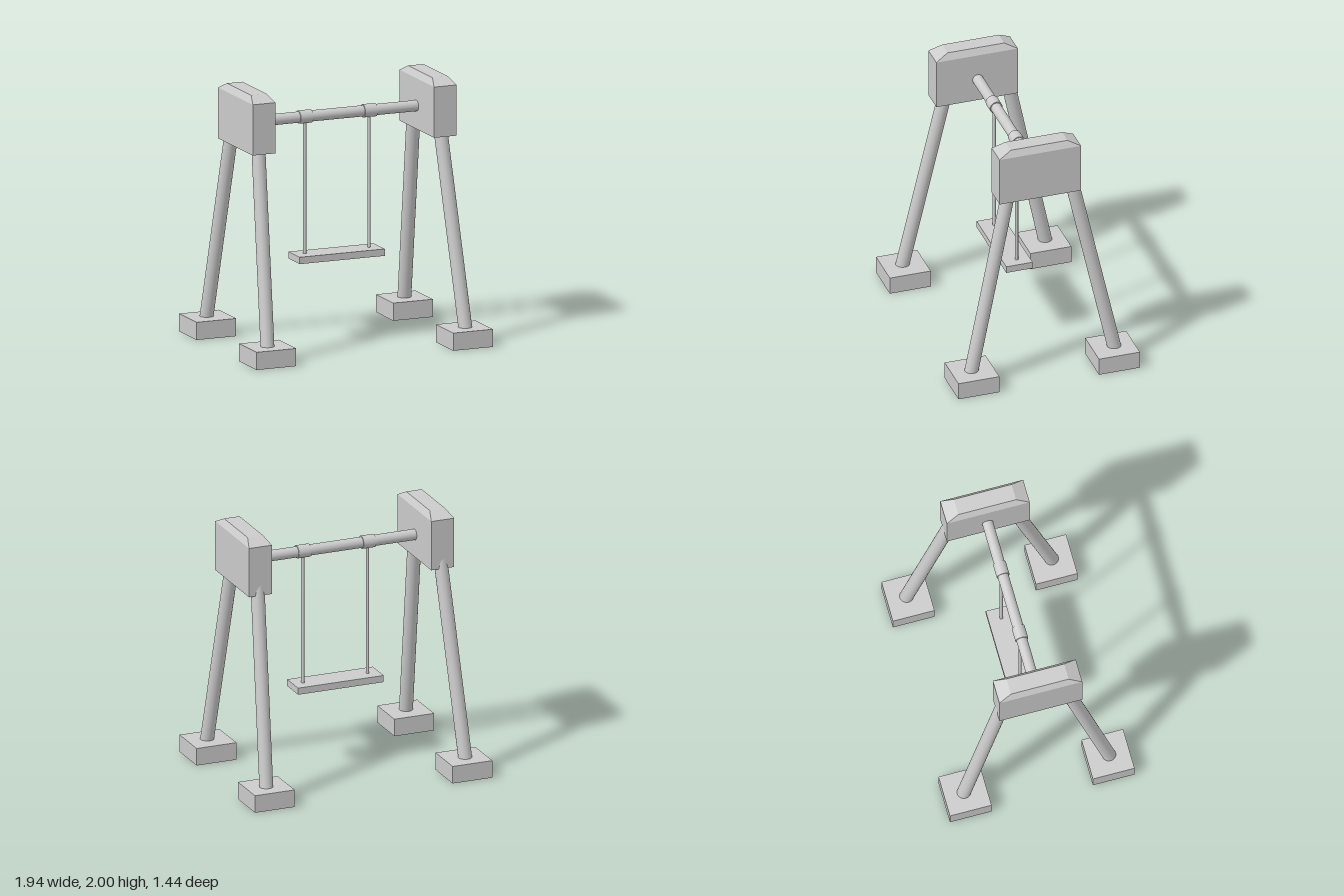
import * as THREE from 'three';

const material = new THREE.MeshStandardMaterial({ color: 0xcccccc });

function add(group, name, geometry, x = 0, y = 0, z = 0) {
  const mesh = new THREE.Mesh(geometry, material);
  mesh.name = name;
  mesh.position.set(x, y, z);
  group.add(mesh);
  return mesh;
}

// Cylinder running between two points
function addRod(group, name, from, to, radius) {
  const dir = to.clone().sub(from);
  const rod = add(group, name, new THREE.CylinderGeometry(radius, radius, dir.length(), 32));
  rod.position.copy(from).add(to).multiplyScalar(0.5);
  rod.quaternion.setFromUnitVectors(new THREE.Vector3(0, 1, 0), dir.normalize());
  return rod;
}

// Block whose top is chamfered on all four sides
function chamferedBlock(width, wallHeight, topHeight, depth, insetX, insetZ) {
  const geo = new THREE.BoxGeometry(width, 1, depth, 1, 2, 1);
  const pos = geo.attributes.position;
  for (let i = 0; i < pos.count; i++) {
    const level = Math.round((pos.getY(i) + 0.5) * 2);
    pos.setY(i, [0, wallHeight, topHeight][level]);
    if (level === 2) {
      pos.setX(i, pos.getX(i) - Math.sign(pos.getX(i)) * insetX);
      pos.setZ(i, pos.getZ(i) - Math.sign(pos.getZ(i)) * insetZ);
    }
  }
  const flat = geo.toNonIndexed();
  flat.computeVertexNormals();
  return flat;
}

export function createModel() {
  const swing = new THREE.Group();
  swing.name = 'swing';
  const V = (x, y, z) => new THREE.Vector3(x, y, z);
  const beamY = 1.74, midZ = 0.022;

  // End frames: head block, two splayed legs, two footings
  for (const side of [-1, 1]) {
    const frame = new THREE.Group();
    frame.name = side > 0 ? 'leftFrame' : 'rightFrame';
    add(frame, 'headBlock', chamferedBlock(0.186, 0.39, 0.44, 0.645, 0.03, 0.098), side * 0.743, 1.56, 0.0275);
    for (const end of [-1, 1]) {
      const prefix = end > 0 ? 'front' : 'back';
      addRod(frame, prefix + 'Leg', V(side * 0.815, 0.04, end * 0.584), V(side * 0.742, 1.7, end * 0.228), 0.052);
      add(frame, prefix + 'Footing', new THREE.BoxGeometry(0.324, 0.136, 0.324), side * 0.806, 0.068, end * 0.556 + 0.002);
    }
    swing.add(frame);
  }

  // Cross beam
  addRod(swing, 'crossBeam', V(-0.68, beamY, midZ), V(0.68, beamY, midZ), 0.042);

  // Hanging seat with a collar and a hanger rod at each side
  for (const x of [-0.266, 0.262]) {
    addRod(swing, 'collar', V(x - 0.051, beamY, midZ), V(x + 0.051, beamY, midZ), 0.05);
    addRod(swing, 'hangerRod', V(x, 0.66, midZ), V(x, beamY, midZ), 0.0125);
  }
  add(swing, 'seat', new THREE.BoxGeometry(0.698, 0.053, 0.208), -0.006, 0.662, 0.027);

  return swing;
}
